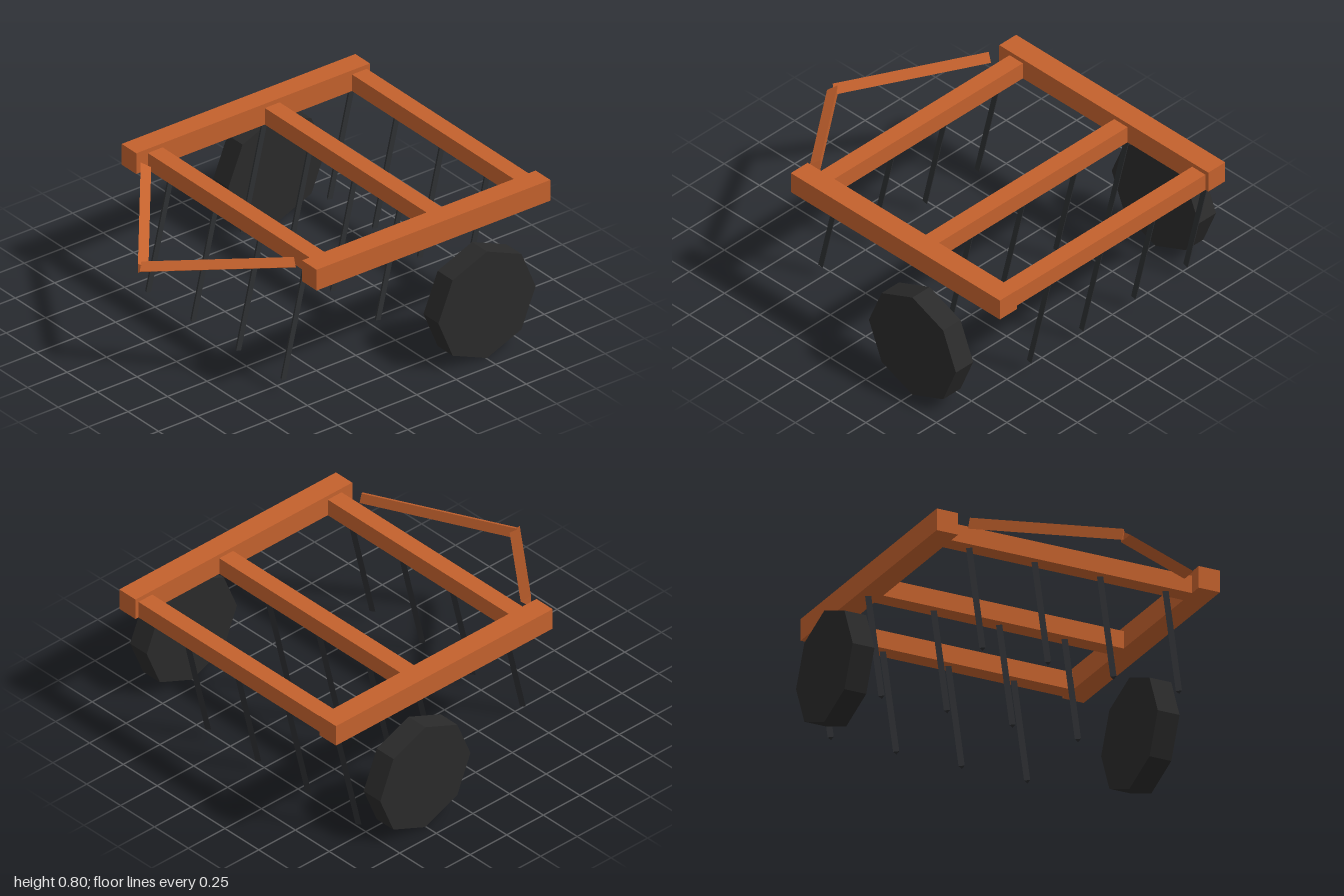
import * as THREE from 'three';

export function createModel() {
  const model = new THREE.Group();
  model.name = 'harrow';

  const mat = (name, color) => {
    const m = new THREE.MeshStandardMaterial({ color, flatShading: true });
    m.name = name;
    return m;
  };
  const framePaint = mat('framePaint', 0xc3612d);
  const tineSteel = mat('tineSteel', 0x2e3033);
  const tyreRubber = mat('tyreRubber', 0x2a2a2a);

  const add = (name, geometry, material, x = 0, y = 0, z = 0) => {
    const mesh = new THREE.Mesh(geometry, material);
    mesh.name = name;
    mesh.position.set(x, y, z);
    model.add(mesh);
    return mesh;
  };

  // three-sided bar from a to b, with one edge turned towards apex
  const prismBar = (name, a, b, radius, apex, material) => {
    const dir = b.clone().sub(a);
    const mid = a.clone().add(b).multiplyScalar(0.5);
    const bar = add(name, new THREE.CylinderGeometry(radius, radius, dir.length(), 3), material, mid.x, mid.y, mid.z);
    dir.normalize();
    const side = new THREE.Vector3().crossVectors(dir, apex);
    bar.quaternion.setFromRotationMatrix(new THREE.Matrix4().makeBasis(side, dir, apex));
  };

  // long side beams, wheels and drawbar arms
  for (const s of [1, -1]) {
    add('sideBeam', new THREE.BoxGeometry(1.48, 0.12, 0.12), framePaint, 0.26, 0.74, s * 0.74);

    const wheel = new THREE.CylinderGeometry(0.308, 0.308, 0.123, 8).rotateX(Math.PI / 2);
    add('wheel', wheel, tyreRubber, 0.504, 0.308, s * 0.862);

    const tip = new THREE.Vector3(-0.972, 0.617, 0);
    const root = new THREE.Vector3(-0.48, 0.75, s * 0.615);
    const d = root.clone().sub(tip);
    const apex = new THREE.Vector3(-s * d.z, 0, s * d.x).multiplyScalar(s).normalize();
    if (apex.z < 0) apex.negate();
    prismBar('drawbarArm', tip, root, 0.035, apex, framePaint);
  }

  // cross beams, each with a staggered row of raked tines
  const back = new THREE.Vector3(0, 0, -1);
  const rows = [[-0.36, -0.555], [0.381, -0.74], [0.933, -0.74]];
  for (const [x, firstZ] of rows) {
    add('crossBeam', new THREE.BoxGeometry(0.094, 0.096, 1.36), framePaint, x, 0.728, 0);
    for (let i = 0; i < 4; i++) {
      const z = firstZ + i * 0.37;
      prismBar('tine', new THREE.Vector3(x - 0.146, 0.066, z), new THREE.Vector3(x + 0.002, 0.69, z), 0.018, back, tineSteel);
    }
  }

  return model;
}
